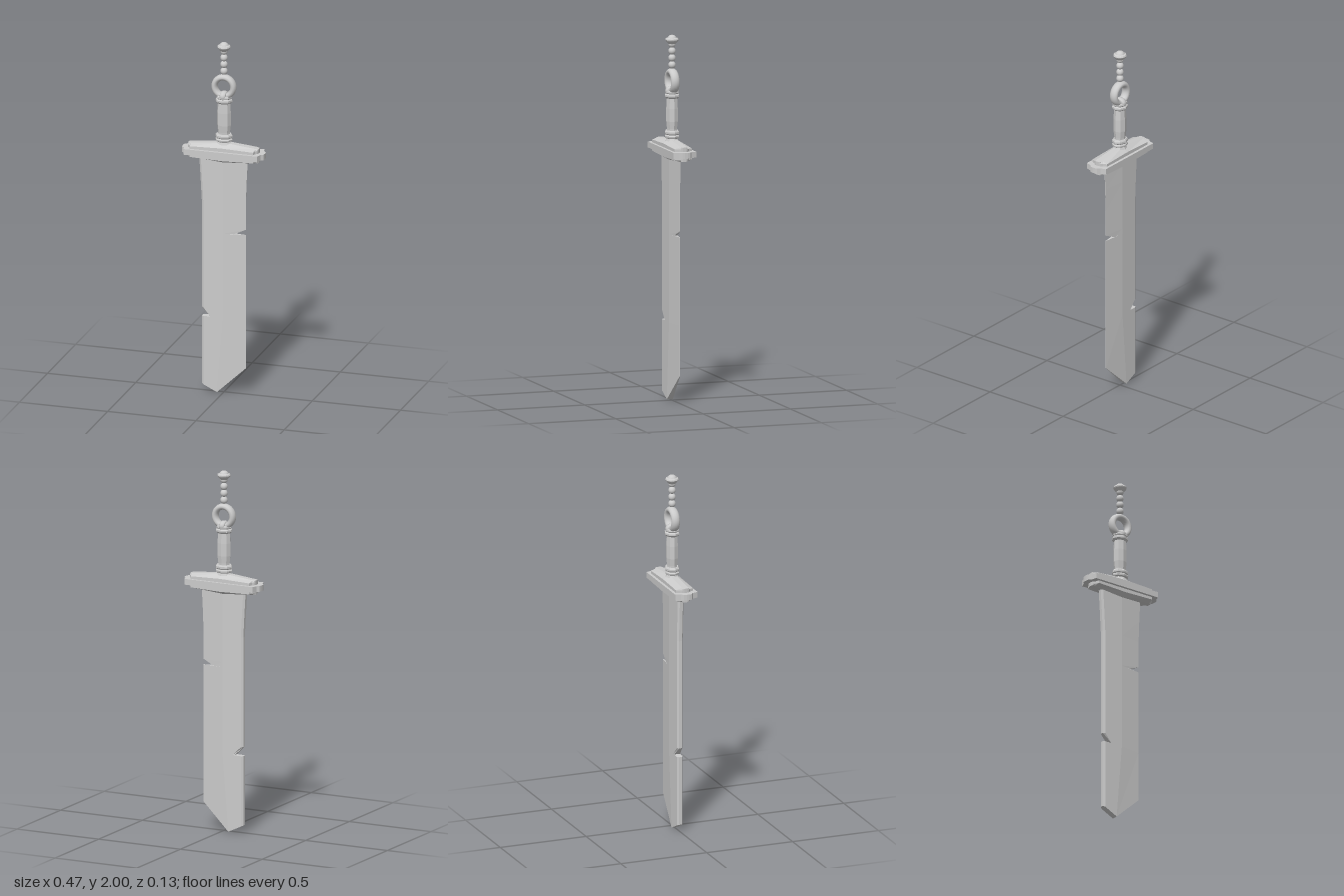
import * as THREE from 'three';

const flat = new THREE.MeshStandardMaterial({ color: 0xcccccc, flatShading: true });
const smooth = new THREE.MeshStandardMaterial({ color: 0xcccccc });

// Closed section mirrored in z: the front runs -x to +x, the back returns. Each point is [x, y, half depth].
const section = (pts) => [
  ...pts.map(([x, y, h]) => [x, y, h]),
  ...[...pts].reverse().map(([x, y, h]) => [x, y, -h]),
];

// Skin a stack of sections, listed bottom to top, and cap both ends
function loft(sections) {
  const rings = sections.map(section);
  const n = rings[0].length;
  const pos = [];
  const quad = (a, b, c, d) => pos.push(...a, ...b, ...c, ...a, ...c, ...d);
  for (let r = 0; r < rings.length - 1; r++) {
    const a = rings[r], b = rings[r + 1];
    for (let i = 0; i < n; i++) {
      const j = (i + 1) % n;
      quad(a[i], a[j], b[j], b[i]);
    }
  }
  const top = rings[rings.length - 1], low = rings[0];
  for (let i = 0; i < n / 2 - 1; i++) {
    quad(top[i], top[i + 1], top[n - 2 - i], top[n - 1 - i]);
    quad(low[n - 1 - i], low[n - 2 - i], low[i + 1], low[i]);
  }
  const geo = new THREE.BufferGeometry();
  geo.setAttribute('position', new THREE.Float32BufferAttribute(pos, 3));
  geo.computeVertexNormals();
  return geo;
}

function add(group, name, geo, mat = flat, y = 0) {
  const mesh = new THREE.Mesh(geo, mat);
  mesh.name = name;
  mesh.position.y = y;
  group.add(mesh);
  return mesh;
}

const lathe = (pts, sides) =>
  new THREE.LatheGeometry(pts.map(([r, y]) => new THREE.Vector2(r, y)), sides);

// Single-edged blade: chamfered spine at -x, central ridge, sharp edge at +x
function bladeGeometry() {
  const depth = (x) => {
    if (x < -0.114) return 0.009;
    return x < 0 ? 0.017 : Math.max(0.0015, 0.017 * (1 - x / 0.125));
  };
  // left x, left y, ridge x, ridge y, right x, right y
  const rows = [
    [-0.123, 0.045, -0.035, 0.003, 0.124, 0.15],
    [-0.123, 0.43, 0, 0.43, 0.124, 0.43],
    [-0.072, 0.431, 0, 0.431, 0.124, 0.431],
    [-0.123, 0.48, 0, 0.48, 0.124, 0.48],
    [-0.123, 0.911, 0, 0.911, 0.124, 0.911],
    [-0.123, 0.912, 0, 0.912, 0.06, 0.912],
    [-0.123, 0.942, 0, 0.942, 0.124, 0.942],
    [-0.123, 1.09, 0, 1.09, 0.124, 1.09],
    [-0.13, 1.22, 0, 1.22, 0.129, 1.22],
    [-0.137, 1.335, 0, 1.335, 0.135, 1.335],
  ];
  return loft(rows.map(([xl, yl, xm, ym, xr, yr]) => [
    [xl, yl, depth(xl)],
    [xl + 0.011, yl + (0.011 * (ym - yl)) / (xm - xl), 0.017],
    [xm, ym, 0.017],
    [xr, yr, depth(xr)],
  ]));
}

// Bracket-ended plan of the guard, as [x, half depth]
const slabPlan = [[0.233, 0.008], [0.23, 0.023], [0.217, 0.034], [0.208, 0.065]];
const tierPlan = [[0.2, 0.008], [0.197, 0.02], [0.186, 0.03], [0.179, 0.05]];

function planAt(plan, y, maxDepth = 1, slope = 0) {
  const right = plan.map(([x, h]) => [x, y - slope * x, Math.min(h, maxDepth)]);
  const left = right.map(([x, py, h]) => [-x, py, h]);
  return [...left, [0, y, right[3][2]], ...right.reverse()];
}

export function createModel() {
  const model = new THREE.Group();
  model.name = 'sword';

  add(model, 'blade', bladeGeometry());

  // Guard: wide slab between two roofed tiers
  const guard = new THREE.Group();
  guard.name = 'guard';
  guard.position.y = 1.373;
  model.add(guard);
  add(guard, 'guardSlab', loft([planAt(slabPlan, -0.016), planAt(slabPlan, 0.016)]));
  add(guard, 'guardTiers', loft([
    planAt(tierPlan, -0.054, 0.017, -0.08),
    planAt(tierPlan, -0.036, 1, -0.03),
    planAt(tierPlan, 0.036, 1, 0.03),
    planAt(tierPlan, 0.06, 0.017, 0.1),
  ]));

  // Grip with collars at both ends
  const grip = new THREE.Group();
  grip.name = 'handle';
  model.add(grip);
  add(grip, 'grip', lathe([
    [0.033, 1.46], [0.034, 1.49], [0.039, 1.53], [0.039, 1.6], [0.034, 1.67],
  ], 8)).scale.z = 0.85;
  add(grip, 'lowerCollar', lathe([
    [0.044, 1.422], [0.037, 1.435], [0.047, 1.44], [0.049, 1.449], [0.043, 1.456],
    [0.048, 1.462], [0.048, 1.472], [0.042, 1.48], [0, 1.48],
  ], 8)).scale.z = 0.82;
  add(grip, 'upperCollar', lathe([
    [0, 1.655], [0.038, 1.655], [0.047, 1.664], [0.047, 1.674], [0.04, 1.68],
    [0.044, 1.686], [0.042, 1.695], [0.03, 1.702], [0, 1.702],
  ], 8)).scale.z = 0.87;

  // Pommel ring, deeper than it is wide, held by a small band
  add(model, 'pommelRing', new THREE.TorusGeometry(0.053, 0.017, 12, 32), smooth, 1.747).scale.z = 1.45;
  const band = add(model, 'ringBand', new THREE.TorusGeometry(0.022, 0.012, 8, 16), smooth, 1.694);
  band.rotation.y = Math.PI / 2;
  band.scale.set(1.15, 0.85, 1.5);

  // Bead chain and finial
  for (let i = 0; i < 4; i++) {
    add(model, 'bead' + (i + 1), new THREE.SphereGeometry(0.0205, 14, 10), smooth, 1.836 + i * 0.038);
  }
  add(model, 'finialBase', lathe([
    [0, 1.942], [0.013, 1.943], [0.034, 1.968], [0.037, 1.974], [0.034, 1.981], [0.024, 1.985], [0, 1.985],
  ], 16));
  add(model, 'finialDome', new THREE.SphereGeometry(0.026, 16, 8, 0, Math.PI * 2, 0, Math.PI / 2), smooth, 1.978)
    .scale.y = 0.85;

  return model;
}
